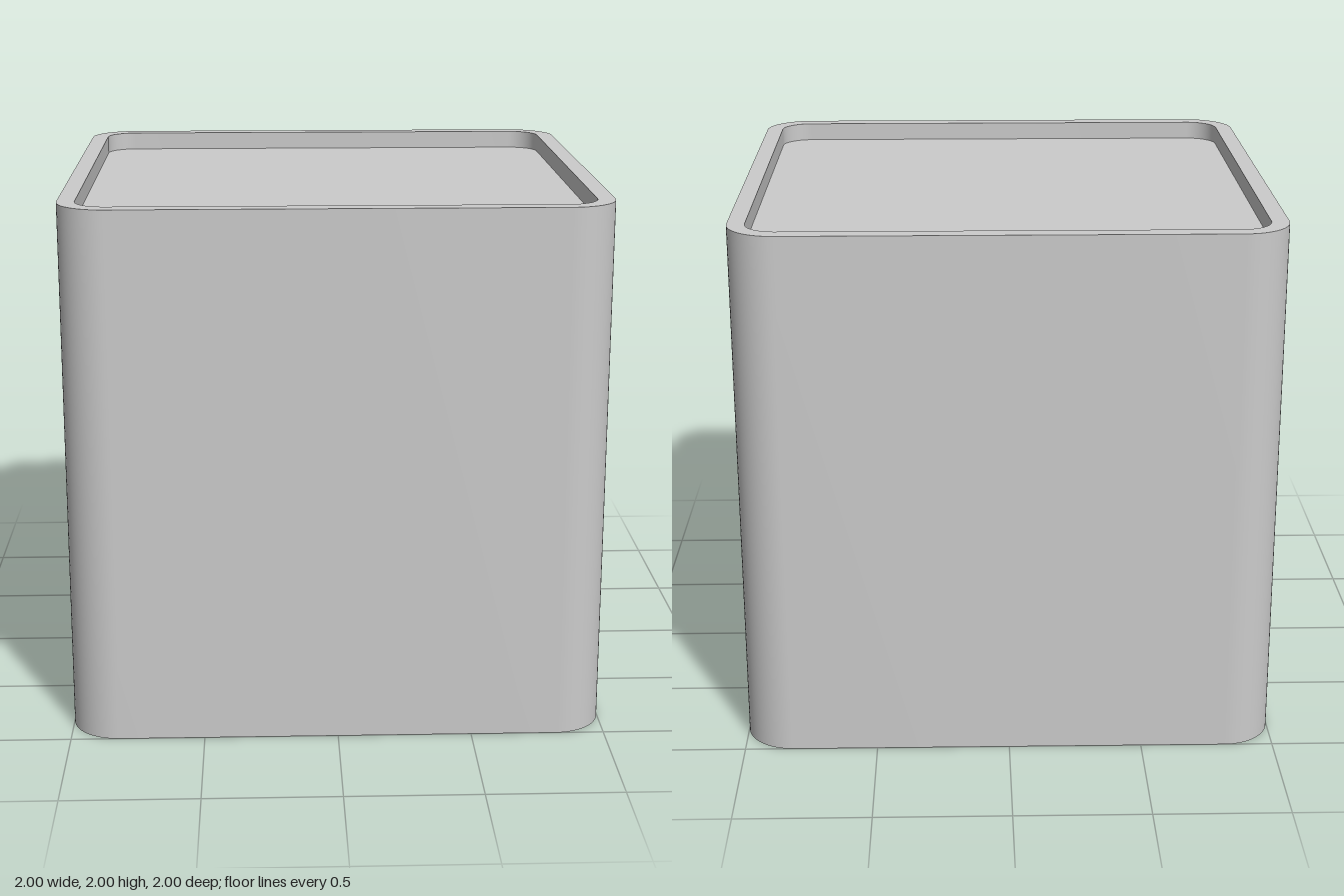
import * as THREE from 'three';
import { toCreasedNormals } from 'three/addons/utils/BufferGeometryUtils.js';

const HEIGHT = 2, RIM = 0.065, RECESS = 0.07, RADIUS = 0.18;

// Rounded square outline, inset from the outer wall
function roundedSquare(inset, Type = THREE.Shape) {
  const h = 1 - inset, r = RADIUS - inset, c = h - r;
  const s = new Type();
  s.moveTo(c, -h);
  s.absarc(c, -c, r, -Math.PI / 2, 0);
  s.absarc(c, c, r, 0, Math.PI / 2);
  s.absarc(-c, c, r, Math.PI / 2, Math.PI);
  s.absarc(-c, -c, r, Math.PI, Math.PI * 1.5);
  s.closePath();
  return s;
}

export function createModel() {
  const group = new THREE.Group();
  group.name = 'cubeStool';
  const material = new THREE.MeshStandardMaterial({ color: 0xcccccc });

  function add(name, geometry, y) {
    const mesh = new THREE.Mesh(geometry, material);
    mesh.name = name;
    mesh.position.y = y;
    group.add(mesh);
  }

  // Outer shell with its rim at top and bottom
  const ring = roundedSquare(0);
  ring.holes.push(roundedSquare(RIM, THREE.Path));
  const shell = new THREE.ExtrudeGeometry(ring, { depth: HEIGHT, bevelEnabled: false, curveSegments: 8 });
  shell.rotateX(-Math.PI / 2);
  add('shell', toCreasedNormals(shell, 0.6), 0);

  // Recessed panels closing both ends
  const panel = roundedSquare(RIM);
  add('topPanel', new THREE.ShapeGeometry(panel, 8).rotateX(-Math.PI / 2), HEIGHT - RECESS);
  add('bottomPanel', new THREE.ShapeGeometry(panel, 8).rotateX(Math.PI / 2), RECESS);

  return group;
}
